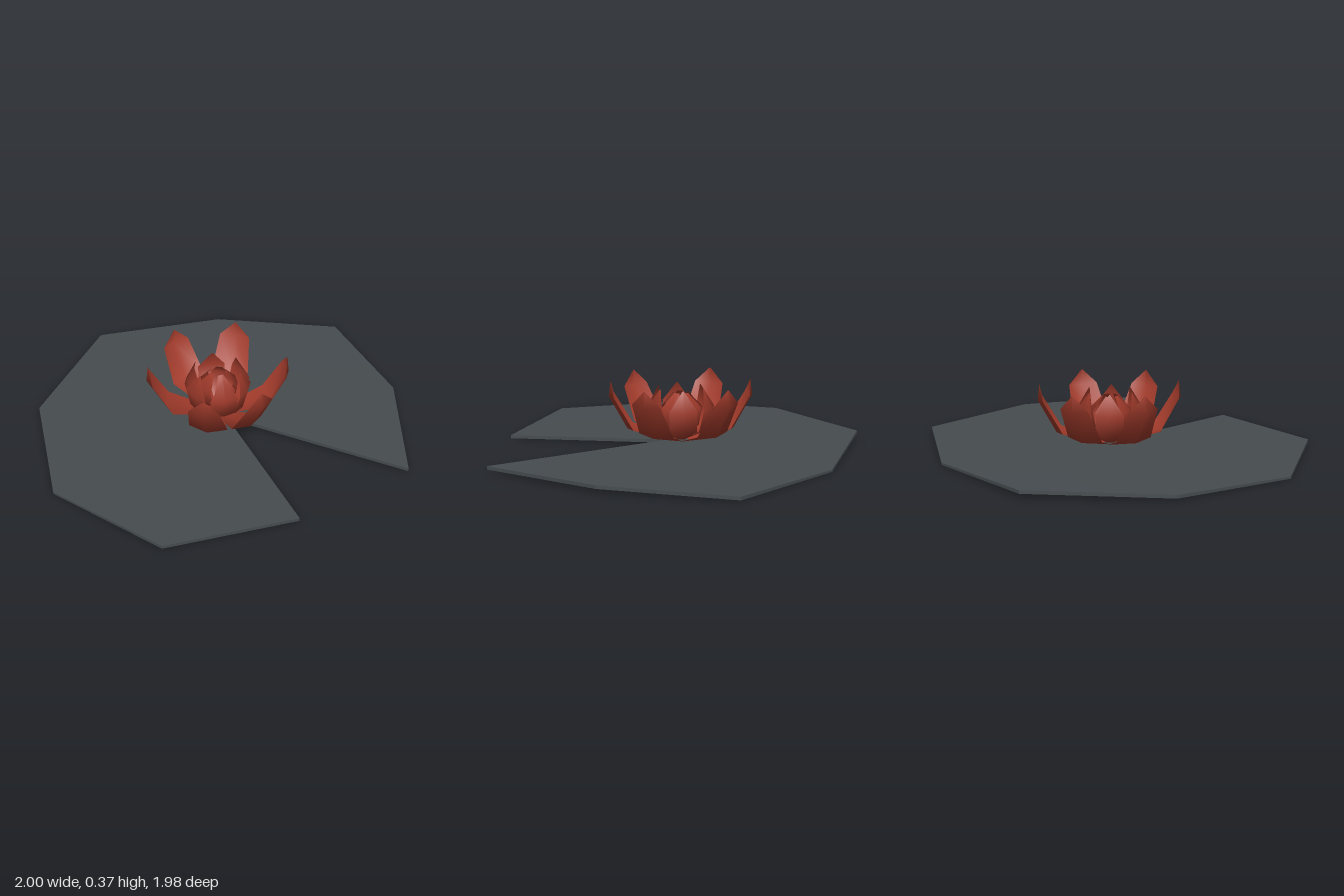
import * as THREE from 'three';

const padMat = new THREE.MeshStandardMaterial({ name: 'slate pad', color: 0x464c4f, side: THREE.DoubleSide });
const petalMat = new THREE.MeshStandardMaterial({ name: 'brick red petal', color: 0xa43c2c, side: THREE.DoubleSide });

function surface(name, points, index, material) {
  const geo = new THREE.BufferGeometry();
  geo.setAttribute('position', new THREE.Float32BufferAttribute(points.flat(), 3));
  geo.setIndex(index);
  geo.computeVertexNormals();
  const mesh = new THREE.Mesh(geo, material);
  mesh.name = name;
  return mesh;
}

// Notched floating leaf: wavy top, thin rim and underside
function makePad() {
  const pad = new THREE.Group();
  pad.name = 'lilyPad';
  const top = [
    [0.03, 0.035, 0], // tip of the notch
    [0.33, 0.02, 0.84], [-0.37, 0.022, 0.985], [-0.91, 0.012, 0.53],
    [-1, 0.032, -0.16], [-0.65, 0.045, -0.83], [0.07, 0.012, -0.99],
    [0.77, 0.025, -0.83], [1, 0.042, -0.17], [0.95, 0.03, 0.52],
  ];
  const bottom = top.map(([x, y, z]) => [x, Math.max(0, y - 0.018), z]);
  const n = top.length;
  const up = [], down = [], rim = [], rimIndex = [];
  for (let i = 1; i < n - 1; i++) {
    up.push(0, i + 1, i);
    down.push(0, i, i + 1);
  }
  for (let i = 0; i < n; i++) {
    const j = (i + 1) % n, k = rim.length;
    rim.push(top[i], top[j], bottom[j], bottom[i]);
    rimIndex.push(k, k + 1, k + 2, k, k + 2, k + 3);
  }
  pad.add(surface('padTop', top, up, padMat));
  pad.add(surface('padUnderside', bottom, down, padMat));
  pad.add(surface('padRim', rim, rimIndex, padMat));
  return pad;
}

// Cupped petal from rows of [radius, height, half width, cup depth]
function makePetal(name, rows, degrees) {
  const a = THREE.MathUtils.degToRad(degrees), c = Math.cos(a), s = Math.sin(a);
  const points = [], index = [];
  rows.forEach(([r, y, w, cup], i) => {
    for (const side of [-1, 0, 1]) {
      const rr = r - Math.abs(side) * cup, t = side * w;
      points.push([rr * c - t * s, y + Math.abs(side) * cup * 0.4, rr * s + t * c]);
    }
    if (i === 0) return;
    for (let k = 0; k < 2; k++) {
      const p = (i - 1) * 3 + k, q = i * 3 + k;
      index.push(p, q, p + 1, p + 1, q, q + 1);
    }
  });
  return surface(name, points, index, petalMat);
}

function makeFlower() {
  const flower = new THREE.Group();
  flower.name = 'flower';
  flower.position.set(-0.01, 0, -0.06);
  const rings = [
    { name: 'outerPetal', angles: [0, 57, 106, 176, 235, 290],
      rows: [[0.02, 0.03, 0.03, 0], [0.29, 0.1, 0.105, 0.03], [0.39, 0.28, 0.085, 0.025], [0.38, 0.37, 0.003, 0]] },
    { name: 'middlePetal', angles: [28, 82, 141, 205, 262, 325],
      rows: [[0.02, 0.04, 0.02, 0], [0.15, 0.1, 0.075, 0.015], [0.18, 0.22, 0.075, 0.015], [0.13, 0.33, 0.003, 0]] },
    { name: 'innerPetal', angles: [0, 72, 144, 216, 288],
      rows: [[0.02, 0.05, 0.015, 0], [0.09, 0.12, 0.06, 0.01], [0.11, 0.22, 0.06, 0.01], [0.04, 0.3, 0.015, 0]] },
  ];
  for (const { name, angles, rows } of rings)
    for (const angle of angles) flower.add(makePetal(name, rows, angle));
  return flower;
}

export function createModel() {
  const model = new THREE.Group();
  model.name = 'waterLily';
  model.add(makePad(), makeFlower());
  return model;
}
